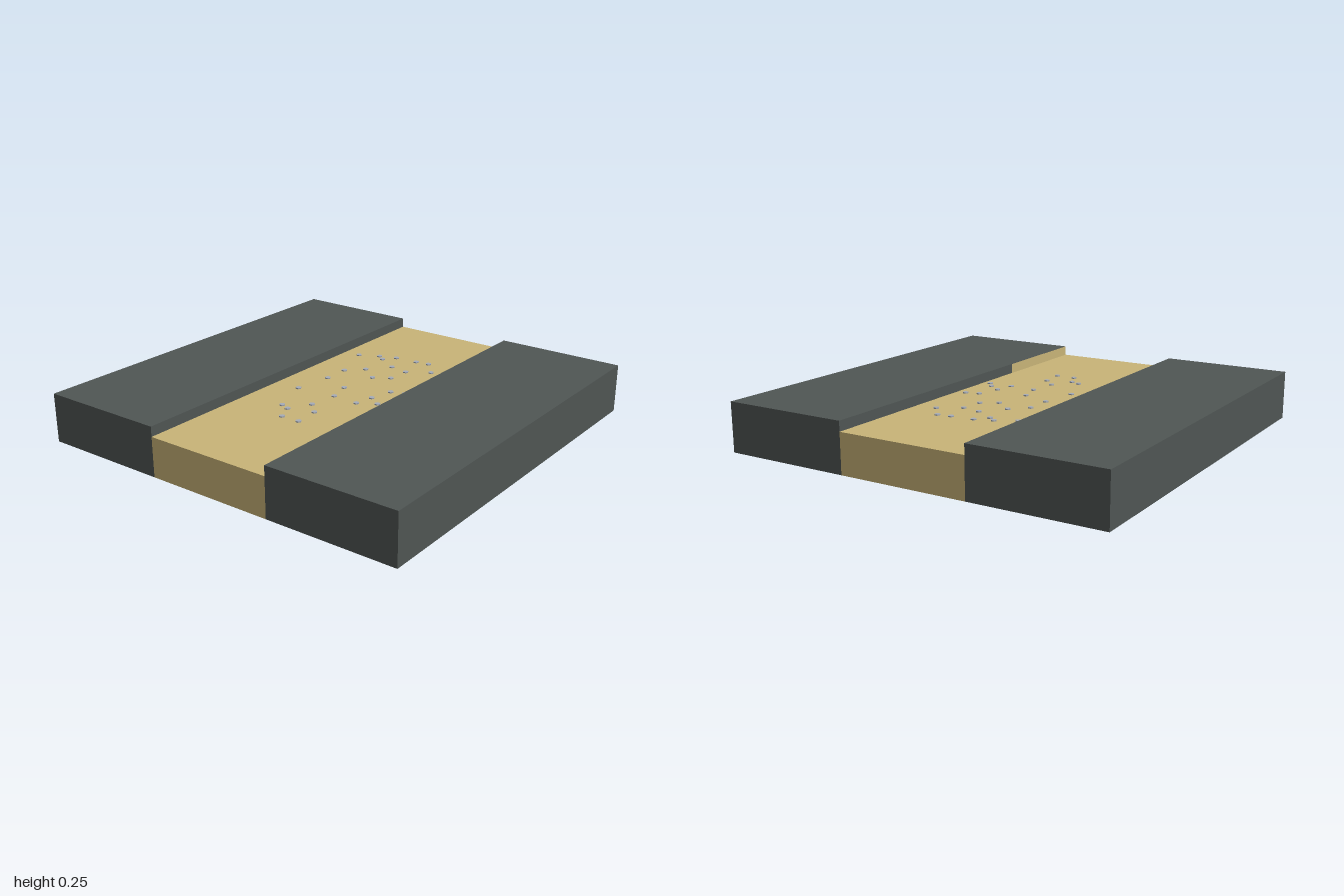
import * as THREE from 'three';

const mat = (color) => new THREE.MeshStandardMaterial({ color, flatShading: true });

export function createModel() {
  const model = new THREE.Group();
  const stone = mat(0x505654), sand = mat(0xc8b478), pebble = mat(0xa6acb8);
  const W = 2, pathHalf = 0.333, pathTop = 0.2, slabTop = 0.25;

  const add = (name, geometry, material, x, y, z, parent = model) => {
    const mesh = new THREE.Mesh(geometry, material);
    mesh.name = name;
    mesh.position.set(x, y, z);
    parent.add(mesh);
    return mesh;
  };

  // Sunken sand path between two raised slabs with sandy undersides
  add('sandPath', new THREE.BoxGeometry(W, pathTop, pathHalf * 2), sand, 0, pathTop / 2, 0);
  const depth = 1 - pathHalf;
  const slabMaterials = [stone, stone, stone, sand, stone, stone];
  for (const [name, side] of [['frontSlab', 1], ['backSlab', -1]]) {
    add(name, new THREE.BoxGeometry(W, slabTop, depth), slabMaterials,
      0, slabTop / 2, side * (pathHalf + depth / 2));
  }

  // Sandy end of the front slab's inner wall
  const patch = add('sandyWallPatch', new THREE.PlaneGeometry(0.59, slabTop - pathTop), sand,
    -0.705, (slabTop + pathTop) / 2, pathHalf - 0.001);
  patch.rotation.y = Math.PI;

  // Small flat pebbles scattered on the path, as [x, z]
  const spots = [
    [-0.14, -0.19], [0.06, -0.16], [0.2, -0.16], [0.44, -0.24], [0.49, -0.14],
    [0.46, -0.1], [0.28, -0.08], [0.52, -0.05], [-0.36, -0.11], [-0.38, -0.06],
    [-0.47, -0.02], [-0.27, 0], [0, -0.01], [-0.12, 0.02], [0.2, 0.02],
    [0.39, 0.01], [-0.47, 0.08], [-0.34, 0.07], [0.25, 0.1], [0.37, 0.11],
    [0.53, 0.07], [0.54, 0.14], [-0.13, 0.16], [-0.03, 0.18], [0.09, 0.21],
    [-0.08, 0.25], [-0.13, 0.29], [0.11, 0.28], [0.44, 0.22],
  ];
  const pebbles = new THREE.Group();
  pebbles.name = 'pebbles';
  model.add(pebbles);
  const pebbleShape = new THREE.CylinderGeometry(0.015, 0.015, 0.006, 6);
  for (const [x, z] of spots) add('pebble', pebbleShape, pebble, x, pathTop + 0.003, z, pebbles);

  return model;
}
